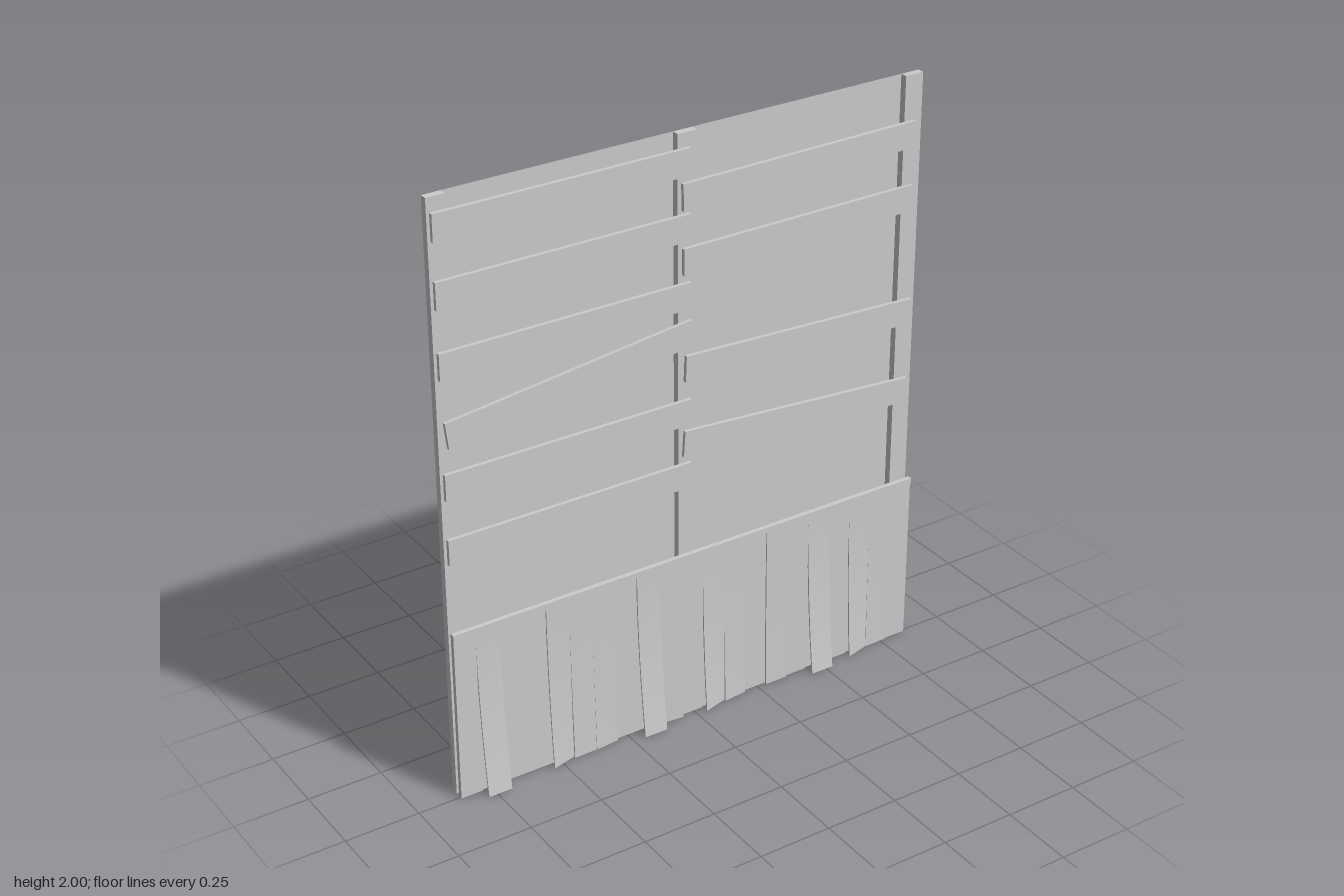
import * as THREE from 'three';

const mat = new THREE.MeshStandardMaterial({ color: 0xcccccc, side: THREE.DoubleSide });

export function createModel() {
  const wall = new THREE.Group();
  wall.name = 'brokenWall';

  const add = (name, geometry, x, y, z) => {
    const mesh = new THREE.Mesh(geometry, mat);
    mesh.name = name;
    mesh.position.set(x, y, z);
    wall.add(mesh);
    return mesh;
  };
  // box given by its limits on each axis
  const box = (name, x0, x1, y0, y1, z0, z1) =>
    add(name, new THREE.BoxGeometry(x1 - x0, y1 - y0, z1 - z0), (x0 + x1) / 2, (y0 + y1) / 2, (z0 + z1) / 2);

  // thin back sheet and the three upright studs in front of it
  add('backSheet', new THREE.PlaneGeometry(1.71, 2), 0, 1, -0.048);
  for (const [x0, x1] of [[-0.855, -0.795], [-0.035, 0.03], [0.79, 0.855]]) {
    box('stud', x0, x1, 0, 2, -0.048, -0.024);
  }

  // laths nailed across the studs: centre x, centre y, tilt, turn
  const laths = [
    [-0.42, 1.91, 0, 0], [-0.42, 1.702, 0, 0], [-0.42, 1.48, 0, 0],
    [-0.41, 1.305, 0.118, 0], [-0.42, 1.088, 0, 0], [-0.42, 0.868, 0, 0],
    [0.402, 1.805, 0.008, 0.003], [0.402, 1.595, 0, 0.008],
    [0.411, 1.22, -0.041, 0], [0.405, 0.952, -0.067, -0.004],
  ];
  for (const [x, y, tilt, turn] of laths) {
    const lath = add('lath', new THREE.BoxGeometry(0.85, 0.087, 0.013), x, y, -0.0175);
    lath.rotation.set(0, turn, tilt);
  }

  // lower panel with its top rail
  box('lowerPanel', -0.855, 0.855, 0, 0.595, -0.009, 0.003);
  box('panelRail', -0.855, 0.855, 0.576, 0.595, 0.003, 0.007);

  // panelling strips: outward bend of the left and right bottom corners, null = missing
  const flat = [0, 0];
  const bends = [
    flat, [0.041, 0.041], null, null, [0.025, 0.004], [0.012, 0.01], [0.012, 0.004],
    null, [0.041, 0.041], [0.004, 0.012], flat, [0.026, 0.005], [0.012, 0.004],
    null, [0.006, 0.006], flat, [0.041, 0.041], flat, [0.026, 0.004], [0.006, 0.004], flat,
  ];
  const step = 0.0816, height = 0.576;
  bends.forEach((bend, i) => {
    if (!bend) return;
    const x0 = i === 0 ? -0.855 : -0.78 + (i - 1) * step;
    const x1 = Math.min(-0.78 + i * step, 0.855);
    const geometry = new THREE.BoxGeometry(x1 - x0, height, 0.005, 1, 14, 1);
    const p = geometry.attributes.position;
    for (let v = 0; v < p.count; v++) {
      const down = 0.5 - p.getY(v) / height;
      const out = p.getX(v) < 0 ? bend[0] : bend[1];
      p.setZ(v, p.getZ(v) + out * Math.pow(down, 1.8));
    }
    geometry.computeVertexNormals();
    add('panelStrip', geometry, (x0 + x1) / 2, height / 2, 0.0045);
  });

  return wall;
}
